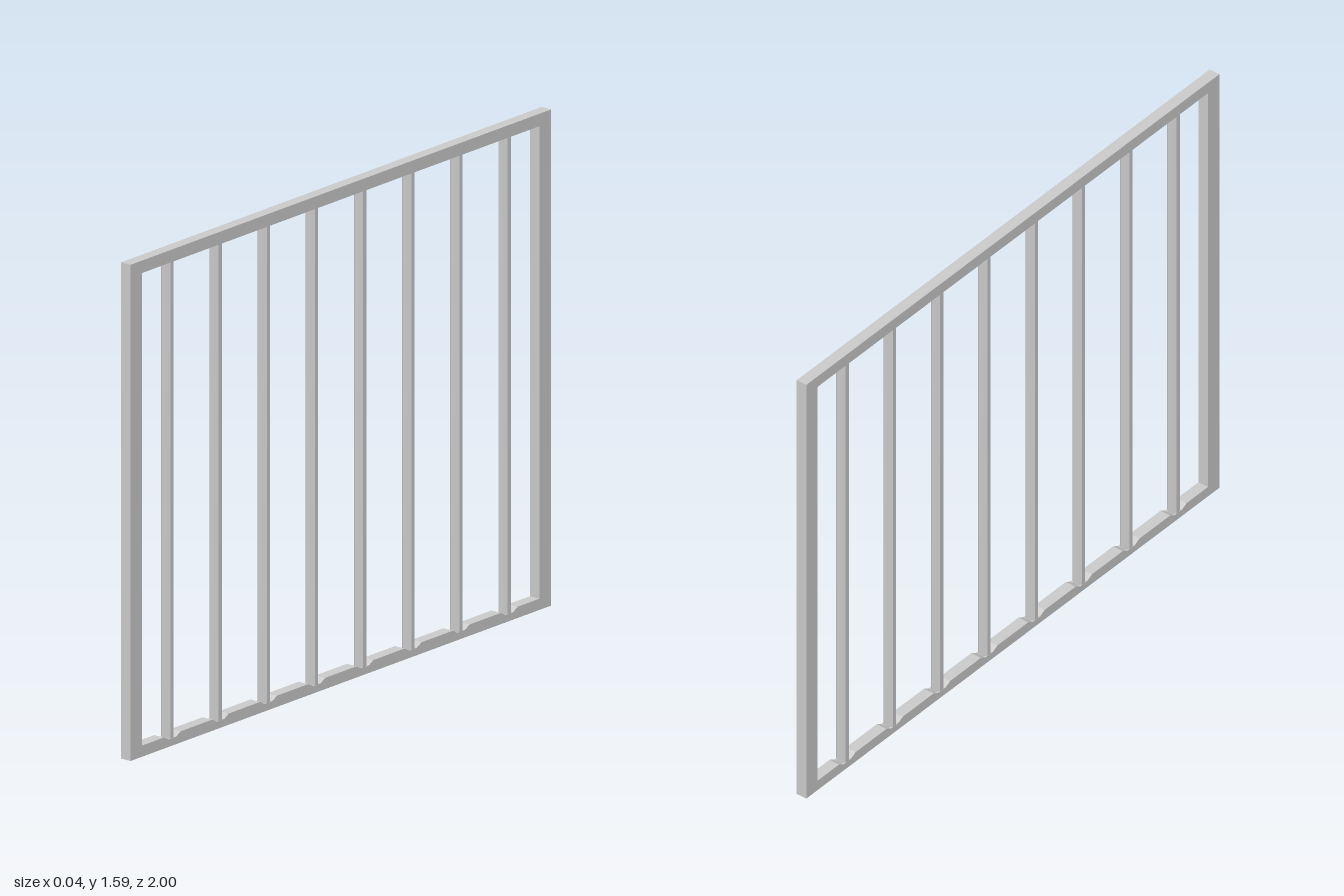
import * as THREE from 'three';

export function createModel() {
  const group = new THREE.Group();
  group.name = 'barredPanel';
  const material = new THREE.MeshStandardMaterial({ color: 0xcccccc, flatShading: true });

  const height = 1.59, depth = 0.038;
  const inner = 0.945, sill = 0.036, lintel = 1.55;
  const barCount = 8, spacing = 0.229, barRadius = 0.02;
  const barZ = Array.from({ length: barCount }, (_, i) => (i - (barCount - 1) / 2) * spacing);

  // Rectangular frame with shallow seats for the bars in its bottom rail
  const outline = new THREE.Shape();
  outline.moveTo(-1, 0).lineTo(1, 0).lineTo(1, height).lineTo(-1, height).closePath();
  const opening = new THREE.Path();
  opening.moveTo(-inner, lintel).lineTo(inner, lintel).lineTo(inner, sill);
  for (const z of [...barZ].reverse()) {
    opening.lineTo(z + 0.04, sill).lineTo(z + 0.018, 0.024);
    opening.lineTo(z - 0.018, 0.024).lineTo(z - 0.04, sill);
  }
  opening.lineTo(-inner, sill).closePath();
  outline.holes.push(opening);
  const frameGeometry = new THREE.ExtrudeGeometry(outline, { depth, bevelEnabled: false });
  frameGeometry.translate(0, 0, -depth / 2).rotateY(-Math.PI / 2);
  const frame = new THREE.Mesh(frameGeometry, material);
  frame.name = 'frame';
  group.add(frame);

  // Eight-sided upright bars, flats facing outward
  const bottom = 0.022, top = lintel + 0.01;
  const barGeometry = new THREE.CylinderGeometry(barRadius, barRadius, top - bottom, 8);
  barGeometry.rotateY(Math.PI / 8);
  barZ.forEach((z, i) => {
    const bar = new THREE.Mesh(barGeometry, material);
    bar.name = `bar${i + 1}`;
    bar.position.set(0, (top + bottom) / 2, z);
    group.add(bar);
  });

  return group;
}
